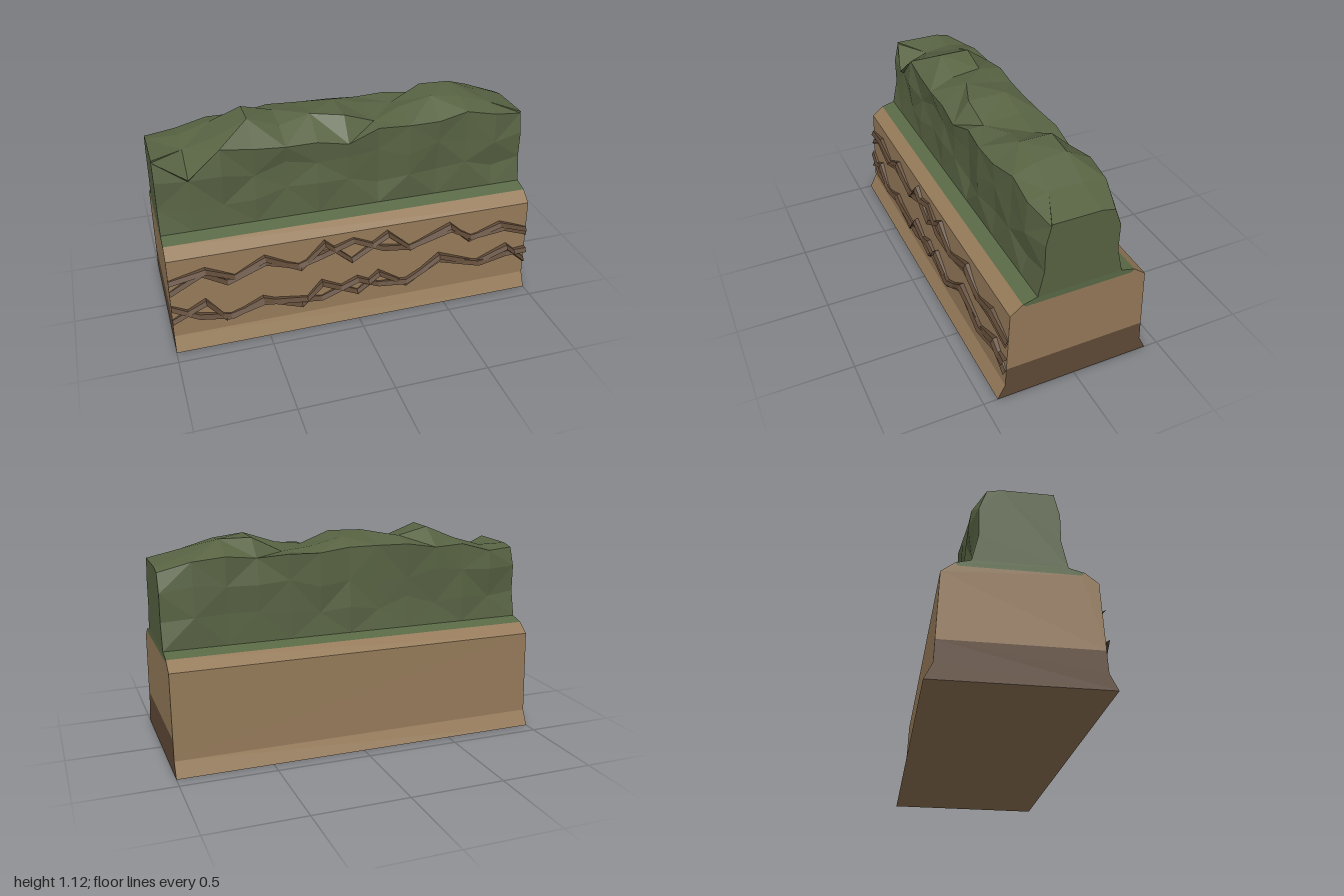
import * as THREE from 'three';

const paint = (name, color) => {
  const m = new THREE.MeshStandardMaterial({ color, flatShading: true });
  m.name = name;
  return m;
};

// Surface through equal-length sections of [x, y, z] points, sections ordered along +x
function loft(sections) {
  const n = sections[0].length, index = [];
  for (let i = 0; i < sections.length - 1; i++) {
    for (let j = 0; j < n - 1; j++) {
      const a = i * n + j, b = a + n;
      if ((i + j) % 2) index.push(a, b, b + 1, a, b + 1, a + 1);
      else index.push(a, b, a + 1, b, b + 1, a + 1);
    }
  }
  const g = new THREE.BufferGeometry();
  g.setAttribute('position', new THREE.Float32BufferAttribute(sections.flat(2), 3));
  g.setIndex(index);
  g.computeVertexNormals();
  return g;
}

// Straight sheet from x = -1 to x = 1 along a [z, y] profile
const sheet = profile => loft([-1, 1].map(x => profile.map(([z, y]) => [x, y, z])));

// Flat cap at x = side from [z, y] points
function cap(points, side) {
  const shape = new THREE.Shape(points.map(([z, y]) => new THREE.Vector2(-side * z, y)));
  return new THREE.ShapeGeometry(shape).rotateY(side * Math.PI / 2).translate(side, 0, 0);
}

const mirrored = pts => [...pts, ...pts.map(([z, y]) => [-z, y]).reverse()];

export function createModel() {
  const soil = paint('soil', 0x957a59);
  const darkSoil = paint('dark soil', 0x604a37);
  const grass = paint('grass', 0x5a6a46);
  const leaves = paint('leaves', 0x586343);
  const bark = paint('root bark', 0x5f4936);
  const model = new THREE.Group();
  model.name = 'hedgeBank';
  const add = (name, geometry, material) => {
    const mesh = new THREE.Mesh(geometry, material);
    mesh.name = name;
    model.add(mesh);
  };

  // Earth bank: sloped sides, grassy shoulder, underside
  const flank = [[0.425, 0], [0.385, 0.08], [0.365, 0.53], [0.3, 0.58]];
  add('bankFront', sheet(flank), soil);
  add('bankBack', sheet(flank.map(([z, y]) => [-z, y]).reverse()), soil);
  add('grassTop', sheet(mirrored([[0.3, 0.58], [0.225, 0.6]])), grass);
  add('bankUnderside', sheet([[-0.425, 0], [0.425, 0]]), soil);

  // Banded bank ends
  for (const side of [-1, 1]) {
    add('endBase', cap(mirrored([[0.425, 0], [0.385, 0.08], [0.38, 0.19]]), side), darkSoil);
    add('endSoil', cap(mirrored([[0.38, 0.19], [0.365, 0.53], [0.3, 0.58], [0.285, 0.565]]), side), soil);
    add('endGrass', cap(mirrored([[0.285, 0.565], [0.3, 0.58], [0.225, 0.6]]), side), grass);
  }

  // Hedge: thirteen uneven cross-sections
  let seed = 11;
  const jitter = amount => {
    seed = (seed * 16807) % 2147483647;
    return (seed / 2147483647 * 2 - 1) * amount;
  };
  const crest = [1, 1, 1.05, 1.12, 1.08, 1.1, 1.095, 1.055, 1.065, 1.12, 1.12, 1.05, 1];
  const shoulder = [0.99, 0.89, 1.03, 1.01, 1, 1, 0.97, 1.03, 1.03, 1.03, 1.055, 1.02, 0.99];
  const ridge = [0.17, 0.05, 0.1, 0.08, 0.08, 0.07, 0.13, 0.12, 0.05, 0.08, 0.085, 0.1, 0.17];
  const hedge = crest.map((top, i) => {
    const x = -1 + i / 6;
    const end = i === 0 || i === 12;
    const inset = end ? 0.02 : 0;
    const wobble = amount => (end ? 0 : jitter(amount));
    return [
      [x, 0.6, 0.225],
      [x, 0.74 + wobble(0.03), 0.215 - inset + wobble(0.018)],
      [x, 0.885 + wobble(0.03), 0.215 - inset + wobble(0.018)],
      [x, shoulder[i], 0.21 - 2 * inset + wobble(0.014)],
      [x, top - (i % 3 === 1 ? 0.02 : 0), ridge[i]],
      [x, top - (i === 5 || i === 8 ? 0.03 : 0), -0.085 + wobble(0.01)],
      [x, Math.min(top - 0.015, 1.04 + wobble(0.015)), -0.205 + 2.5 * inset + wobble(0.016)],
      [x, 0.885 + wobble(0.03), -0.213 + inset + wobble(0.018)],
      [x, 0.74 + wobble(0.03), -0.212 + inset + wobble(0.018)],
      [x, 0.6, -0.225],
    ];
  });
  add('hedge', loft(hedge), leaves);
  for (const [section, side] of [[hedge[0], -1], [hedge[12], 1]]) {
    add('hedgeEnd', cap(section.map(([, y, z]) => [z, y]), side), leaves);
  }

  // Zigzag roots: ridged strands of [x, y] points along the front
  const roots = [
    [[-1, 0.4], [-0.81, 0.445], [-0.66, 0.375], [-0.5, 0.46], [-0.31, 0.36], [-0.18, 0.49], [-0.03, 0.355],
      [0.17, 0.485], [0.3, 0.37], [0.53, 0.47], [0.65, 0.36], [0.83, 0.425], [1, 0.36]],
    [[-1, 0.335], [-0.83, 0.435], [-0.7, 0.35], [-0.5, 0.44], [-0.32, 0.375], [-0.2, 0.42], [-0.02, 0.475],
      [0.14, 0.405], [0.3, 0.375], [0.53, 0.45], [0.66, 0.37], [0.85, 0.4], [1, 0.34]],
    [[-1, 0.25], [-0.86, 0.18], [-0.68, 0.14], [-0.52, 0.215], [-0.31, 0.13], [-0.2, 0.25], [0, 0.15],
      [0.12, 0.25], [0.28, 0.145], [0.47, 0.29], [0.7, 0.2], [0.88, 0.275], [1, 0.165]],
    [[-1, 0.165], [-0.82, 0.26], [-0.72, 0.135], [-0.52, 0.2], [-0.2, 0.15], [0, 0.235],
      [0.12, 0.175], [0.28, 0.165], [0.47, 0.265], [0.71, 0.2], [0.88, 0.225], [1, 0.235]],
  ];
  roots.forEach((path, k) => {
    const z = k < 2 ? 0.36 : 0.37;
    add('root', loft(path.map(([x, y], i) => {
      const tip = z + 0.034 + (i % 2 ? 0.006 : -0.006);
      return [[x, y - 0.022, z], [x, y - 0.006, tip], [x, y + 0.018, tip - 0.012], [x, y + 0.022, z], [x, y - 0.022, z]];
    })), bark);
  });

  return model;
}
